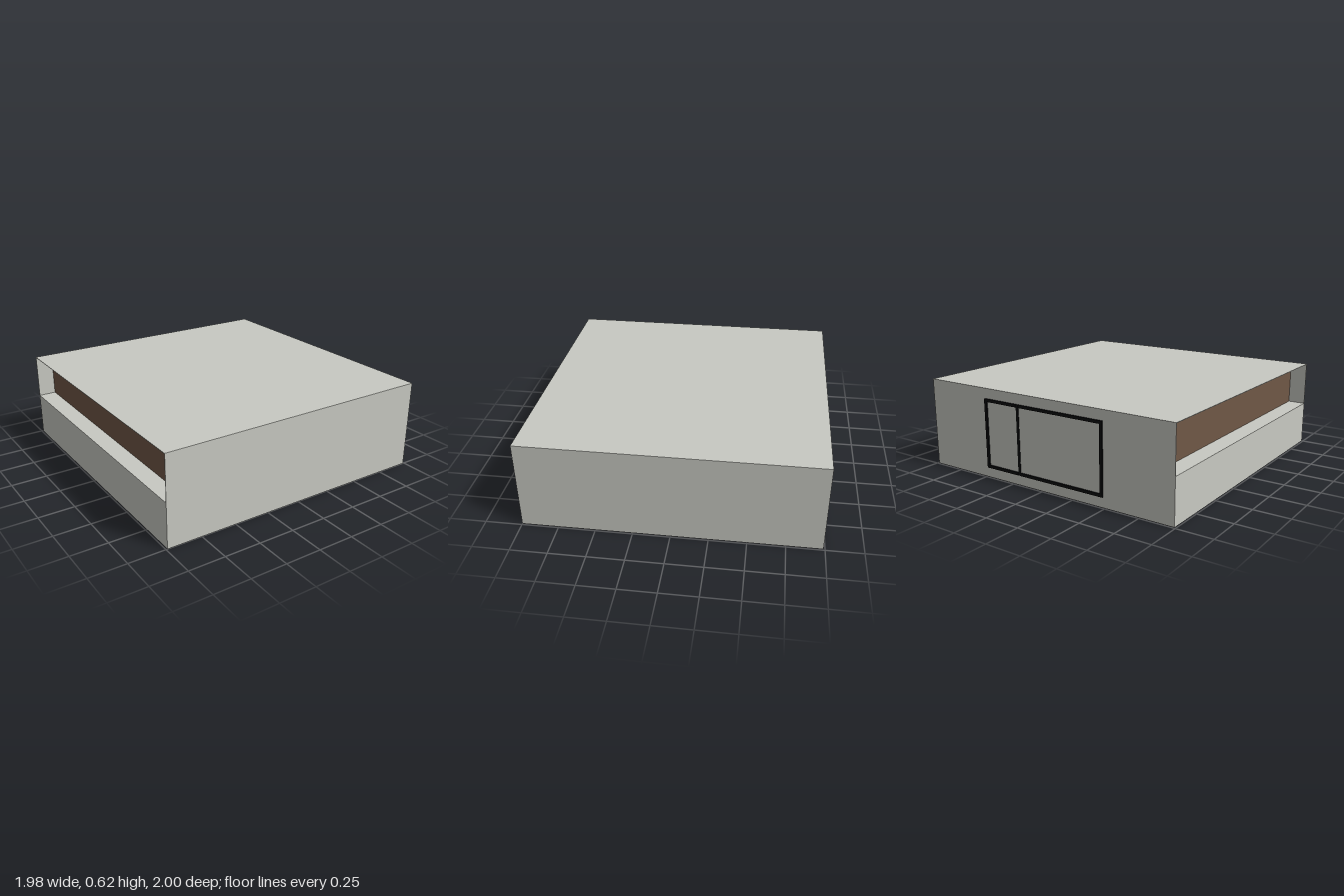
import * as THREE from 'three';

export function createModel() {
  const model = new THREE.Group();
  const plaster = new THREE.MeshStandardMaterial({ color: 0xc8c9c2 });
  plaster.name = 'pale grey plaster';
  const wood = new THREE.MeshStandardMaterial({ color: 0x6f5746 });
  wood.name = 'brown wood';
  const black = new THREE.MeshStandardMaterial({ color: 0x080a0c });
  black.name = 'black frame';

  // Box given by its lower and upper corners
  const box = (name, material, [x0, y0, z0], [x1, y1, z1], parent = model) => {
    const mesh = new THREE.Mesh(new THREE.BoxGeometry(x1 - x0, y1 - y0, z1 - z0), material);
    mesh.position.set((x0 + x1) / 2, (y0 + y1) / 2, (z0 + z1) / 2);
    mesh.name = name;
    parent.add(mesh);
    return mesh;
  };

  const W = 0.99, H = 0.625, back = -0.99, front = 1;
  const ledge = 0.31, inner = -0.865, skin = 0.004;

  // Brown underside is the -y face of the lower storey
  const faces = [plaster, plaster, plaster, wood, plaster, plaster];
  box('lowerBody', faces, [-W, 0, back], [W, ledge, front]);

  // Upper storey, stepped back on one side to leave a long balcony
  box('upperBody', plaster, [inner + 0.01, ledge, back], [W, H, front]);
  box('balconyRoof', plaster, [-W, H - skin, back], [inner + 0.01, H, front]);
  box('balconyBackEnd', plaster, [-W, ledge, back], [inner + 0.01, H - skin, back + skin]);
  box('balconyFrontEnd', plaster, [-W, ledge, front - skin], [inner + 0.01, H - skin, front]);

  // Three wooden panels along the balcony wall
  const z0 = back + skin, step = (front - back - 2 * skin) / 3;
  for (let i = 0; i < 3; i++) {
    box('balconyPanel', wood, [inner, ledge, z0 + i * step],
      [inner + 0.01, H - skin, z0 + (i + 1) * step]);
  }

  // Two-part sliding window frame on the back wall
  const frame = new THREE.Group();
  frame.name = 'windowFrame';
  model.add(frame);
  const bar = 0.02, low = 0.07, high = 0.555;
  for (const [x0, x1] of [[-0.485, 0.187], [0.207, 0.485]]) {
    for (const y of [low, high - bar]) {
      box('frameRail', black, [x0, y, -1], [x1, y + bar, back], frame);
    }
  }
  for (const x of [-0.485, 0.485 - bar]) {
    box('framePost', black, [x, low + bar, -1], [x + bar, high - bar, back], frame);
  }
  box('frameDivider', black, [0.187, low, -0.994], [0.207, high, back], frame);

  return model;
}
